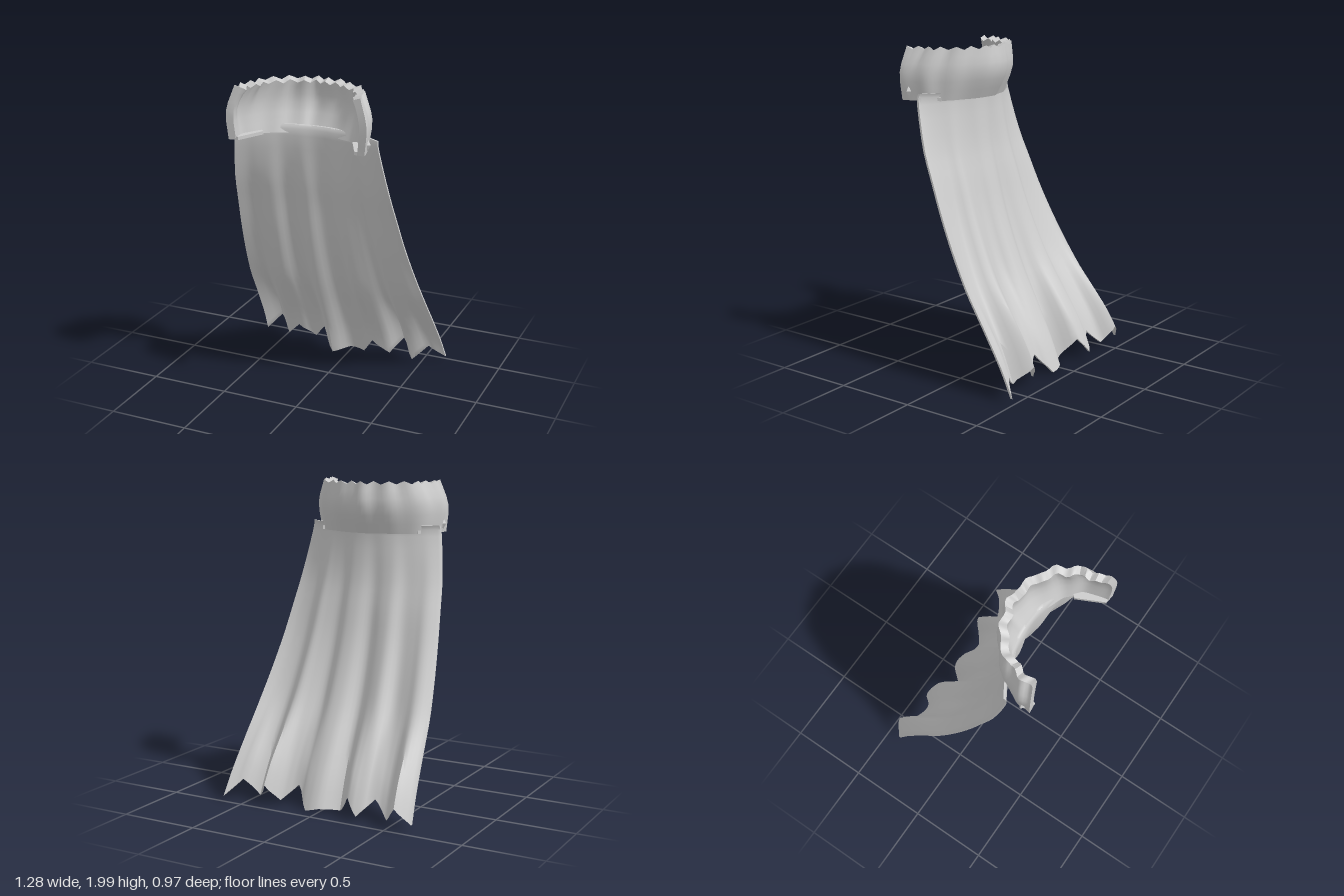
import * as THREE from 'three';
import { toCreasedNormals } from 'three/addons/utils/BufferGeometryUtils.js';

const cloth = new THREE.MeshStandardMaterial({ color: 0xcccccc, side: THREE.DoubleSide });
cloth.name = 'light grey cloth';

const V = (x, y, z) => new THREE.Vector3(x, y, z);

// Skin a list of closed sections (equal, even point counts) and cap both ends
function loft(sections) {
  const n = sections[0].length, last = sections.length - 1, index = [];
  const id = (i, j) => i * n + (j % n);
  for (let i = 0; i < last; i++) {
    for (let j = 0; j < n; j++) {
      const a = id(i, j), b = id(i + 1, j), c = id(i + 1, j + 1), d = id(i, j + 1);
      index.push(a, b, c, a, c, d);
    }
  }
  for (let j = 0; j < n / 2 - 1; j++) {
    const q = [j, j + 1, n - 2 - j, n - 1 - j];
    const [a, b, c, d] = q, e = last * n;
    index.push(a, b, c, a, c, d, e + a, e + c, e + b, e + a, e + d, e + c);
  }
  const g = new THREE.BufferGeometry().setFromPoints(sections.flat());
  g.setIndex(index);
  return toCreasedNormals(g, 1.0);
}

// Piecewise linear lookup in [key, value] pairs with rising keys
function lookup(table, k) {
  let i = 0;
  while (i < table.length - 2 && k > table[i + 1][0]) i++;
  const [k0, v0] = table[i], [k1, v1] = table[i + 1];
  return v0 + (v1 - v0) * (k - k0) / (k1 - k0);
}

// Hem corners: x, y, z
const hem = [
  [-0.64, 0.04, -0.41], [-0.55, 0.14, -0.46], [-0.47, 0.04, -0.40], [-0.37, 0.14, -0.35],
  [-0.28, 0.04, -0.43], [-0.2, 0.14, -0.39], [-0.1, 0.01, -0.30], [0, 0.03, -0.39],
  [0.09, 0.01, -0.40], [0.18, 0.14, -0.32], [0.28, 0.04, -0.38], [0.36, 0.14, -0.44],
  [0.45, 0.04, -0.35], [0.55, 0.14, -0.39], [0.64, 0.04, -0.48],
];

// Hanging sheet: curved at the shoulders, folded towards the hem
function capeGeometry() {
  const folds = new THREE.CatmullRomCurve3(hem.map(([x, , z]) => V(x, 0, z)));
  const drop = new THREE.SplineCurve([
    [0.235, 1.72], [0.246, 1.66], [0.205, 1.4], [0.145, 1.2], [0.08, 1.0], [0, 0.8],
    [-0.095, 0.6], [-0.21, 0.4], [-0.32, 0.2], [-0.39, 0.04],
  ].map(p => new THREE.Vector2(...p)));
  const width = [[0, 0.64], [0.04, 0.64], [0.6, 0.59], [1, 0.54], [1.4, 0.495], [1.72, 0.45]];
  const hemLine = hem.map(([x, y]) => [x, y]);
  const rows = 26, cols = (hem.length - 1) * 4, thick = 0.014, sections = [];
  for (let i = 0; i <= rows; i++) {
    const t = i / rows, mid = drop.getPoint(t), front = [], back = [];
    for (let j = 0; j <= cols; j++) {
      const f = folds.getPoint(j / cols), u = f.x / 0.64;
      const tooth = (lookup(hemLine, f.x) - 0.04) * THREE.MathUtils.smoothstep(t, 0.6, 1);
      const down = THREE.MathUtils.clamp((1.72 - mid.y) / 1.68, 0, 1);
      const z = mid.x + (1 - down) * (0.155 * u * u - 0.06) + down * (f.z + 0.39);
      const x = u * lookup(width, mid.y);
      front.push(V(x, mid.y + tooth, z + thick / 2));
      back.unshift(V(x, mid.y + tooth, z - thick / 2));
    }
    sections.push([...front, ...back]);
  }
  return loft(sections);
}

// Half outline in plan, mirrored into a full horseshoe curve
function horseshoe(half) {
  const full = [...half, ...half.slice(0, -1).reverse().map(([x, z]) => [-x, z])];
  return new THREE.CatmullRomCurve3(full.map(([x, z]) => V(x, 0, z)));
}

// Standing collar: bulging, rippled, with a toothed upper rim
function collarGeometry() {
  const low = horseshoe([[-0.425, 0.48], [-0.41, 0.38], [-0.36, 0.29], [-0.26, 0.21], [-0.1, 0.15], [0, 0.13]]);
  const belly = horseshoe([[-0.435, 0.485], [-0.43, 0.39], [-0.38, 0.28], [-0.27, 0.16], [-0.12, 0.08], [0, 0.048]]);
  const rim = horseshoe([[-0.385, 0.465], [-0.37, 0.36], [-0.33, 0.26], [-0.24, 0.15], [-0.11, 0.09], [0, 0.065]]);
  const teeth = 15, steps = teeth * 4, levels = 6, sections = [];
  for (let i = 0; i <= steps; i++) {
    const s = i / steps;
    const tooth = 0.02 * Math.abs(((s * teeth) % 1) * 2 - 1);
    const a = low.getPoint(s), b = belly.getPoint(s), c = rim.getPoint(s);
    a.y = 1.67; b.y = 1.84; c.y = 1.975 + tooth;
    const profile = new THREE.CatmullRomCurve3([c, b, a]);
    const outer = [], inner = [];
    for (let k = 0; k <= levels; k++) {
      const p = profile.getPoint(k / levels);
      const inward = V(-p.x, 0, 0.44 - p.z).normalize();
      const ripple = 0.011 * (1 - 0.7 * k / levels) * Math.sin(s * 50 + 0.8 * Math.sin(s * 17));
      p.addScaledVector(inward, ripple);
      outer.push(p);
      const q = p.clone().addScaledVector(inward, 0.046);
      if (k === 0) q.y -= 0.015;
      inner.unshift(q);
    }
    sections.push([...outer, ...inner]);
  }
  return loft(sections);
}

// Flat lip turned inwards under each collar end
function lipGeometry(side) {
  const shape = new THREE.Shape(
    [[0.42, 0.475], [0.365, 0.475], [0.285, 0.31], [0.34, 0.25], [0.40, 0.36]]
      .map(([x, z]) => new THREE.Vector2(side * x, -z)));
  return new THREE.ExtrudeGeometry(shape, { depth: 0.02, bevelEnabled: false }).rotateX(-Math.PI / 2);
}

export function createModel() {
  const model = new THREE.Group();
  model.name = 'cape';
  const add = (geometry, name) => {
    const mesh = new THREE.Mesh(geometry, cloth);
    mesh.name = name;
    model.add(mesh);
    return mesh;
  };

  add(capeGeometry(), 'capeSheet');
  add(collarGeometry(), 'collar');

  for (const side of [-1, 1]) {
    const label = side > 0 ? 'left' : 'right';
    add(lipGeometry(side), label + 'CollarLip').position.y = 1.67;
    // Small diamond stud near the collar end
    const stud = add(toCreasedNormals(new THREE.OctahedronGeometry(1), 0.1), label + 'Stud');
    stud.scale.set(0.02, 0.035, 0.02);
    stud.position.set(side * 0.427, 1.725, 0.43);
  }
  return model;
}
